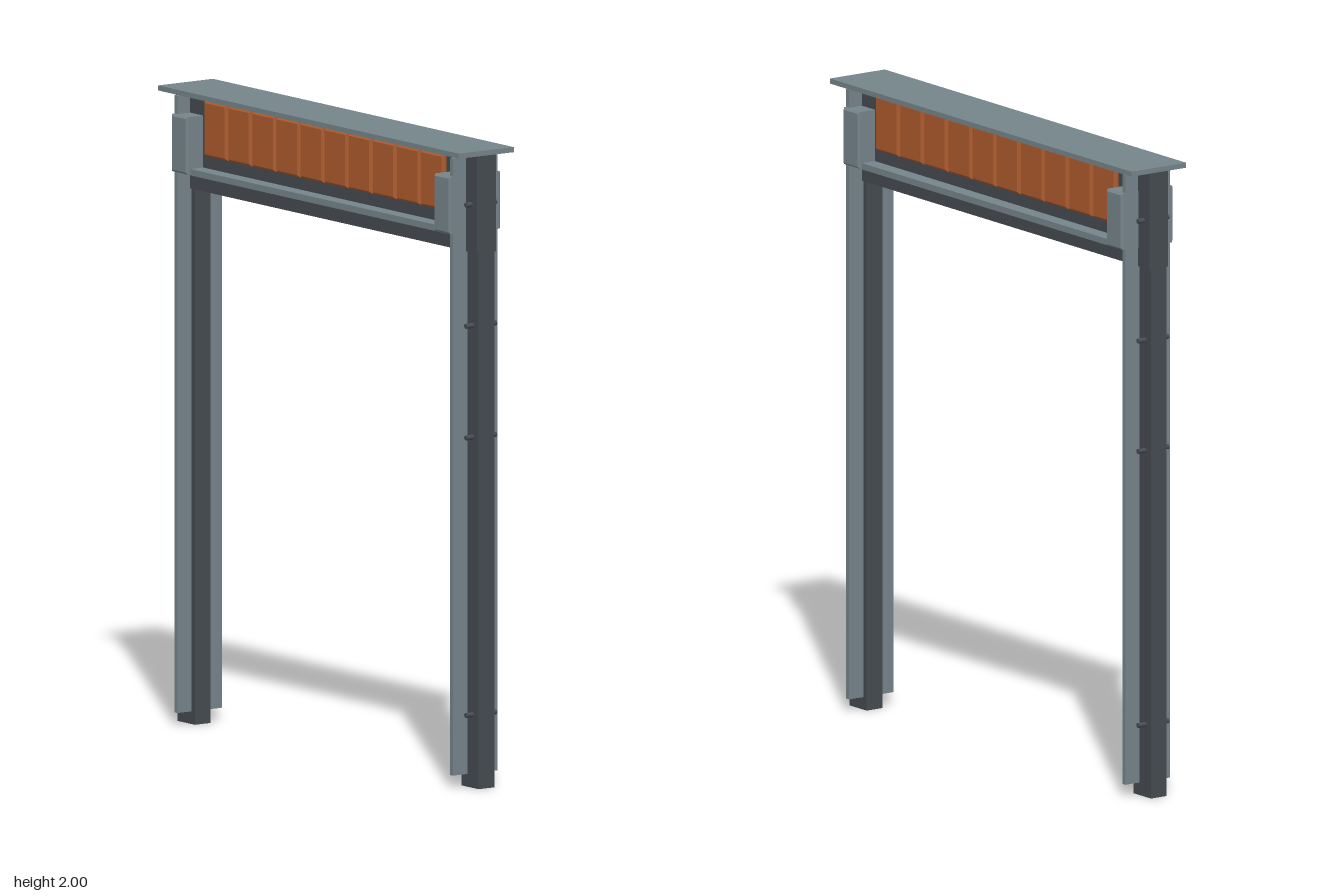
import * as THREE from 'three';

const mat = (name, color) => new THREE.MeshStandardMaterial({ name, color });

export function createModel() {
  const steel = mat('grey steel', 0x75848a);
  const dark = mat('dark steel', 0x454b50);
  const rust = mat('orange panel', 0xac5a2c);
  const root = new THREE.Group();
  root.name = 'doorFrame';

  const add = (name, geo, material, x, y, z) => {
    const m = new THREE.Mesh(geo, material);
    m.name = name;
    m.position.set(x, y, z);
    root.add(m);
    return m;
  };
  // box given by its minimum and maximum corners
  const box = (name, material, x0, x1, y0, y1, z0, z1) =>
    add(name, new THREE.BoxGeometry(x1 - x0, y1 - y0, z1 - z0), material,
      (x0 + x1) / 2, (y0 + y1) / 2, (z0 + z1) / 2);
  // box centred on z with bevelled front and back edges
  const bevelled = (w, h, d, b) => {
    const s = new THREE.Shape();
    const x = w / 2 - b, y = h / 2 - b;
    s.moveTo(-x, -y).lineTo(x, -y).lineTo(x, y).lineTo(-x, y).closePath();
    const g = new THREE.ExtrudeGeometry(s, {
      depth: d - 2 * b, bevelEnabled: true, bevelSize: b, bevelThickness: b, bevelSegments: 1,
    });
    return g.translate(0, 0, -(d - 2 * b) / 2);
  };

  // header: top plate, web and lower ledge
  box('topPlate', steel, -0.79, 0.79, 1.984, 2, -0.105, 0.105);
  box('headerWeb', dark, -0.79, 0.79, 1.68, 1.984, -0.036, 0.036);
  box('headerLedge', steel, -0.715, 0.715, 1.735, 1.755, -0.085, 0.085);

  // row of raised panels showing on both faces
  const panelGeo = bevelled(0.12, 0.174, 0.1, 0.007);
  for (let i = 0; i < 10; i++) {
    add('panel', panelGeo, rust, (i - 4.5) * 0.1265, 1.882, 0);
  }

  // posts with cross flange, corner bracket and bolts
  const bracketGeo = bevelled(0.084, 0.18, 0.198, 0.006);
  const boltGeo = new THREE.CylinderGeometry(0.008, 0.008, 0.03, 8).rotateX(Math.PI / 2);
  for (const s of [-1, 1]) {
    const post = box('postWeb', dark, -0.045, 0.045, 0, 1.7, -0.03, 0.03);
    post.position.x = s * 0.745;
    const flange = box('postFlange', steel, -0.0075, 0.0075, 0.04, 1.975, -0.085, 0.085);
    flange.position.x = s * 0.724;
    add('cornerBracket', bracketGeo, steel, s * 0.69, 1.828, 0);
    for (const y of [0.23, 1.1, 1.45, 1.83]) {
      for (const z of [-1, 1]) add('bolt', boltGeo, dark, s * 0.76, y, z * 0.043);
    }
  }
  return root;
}
